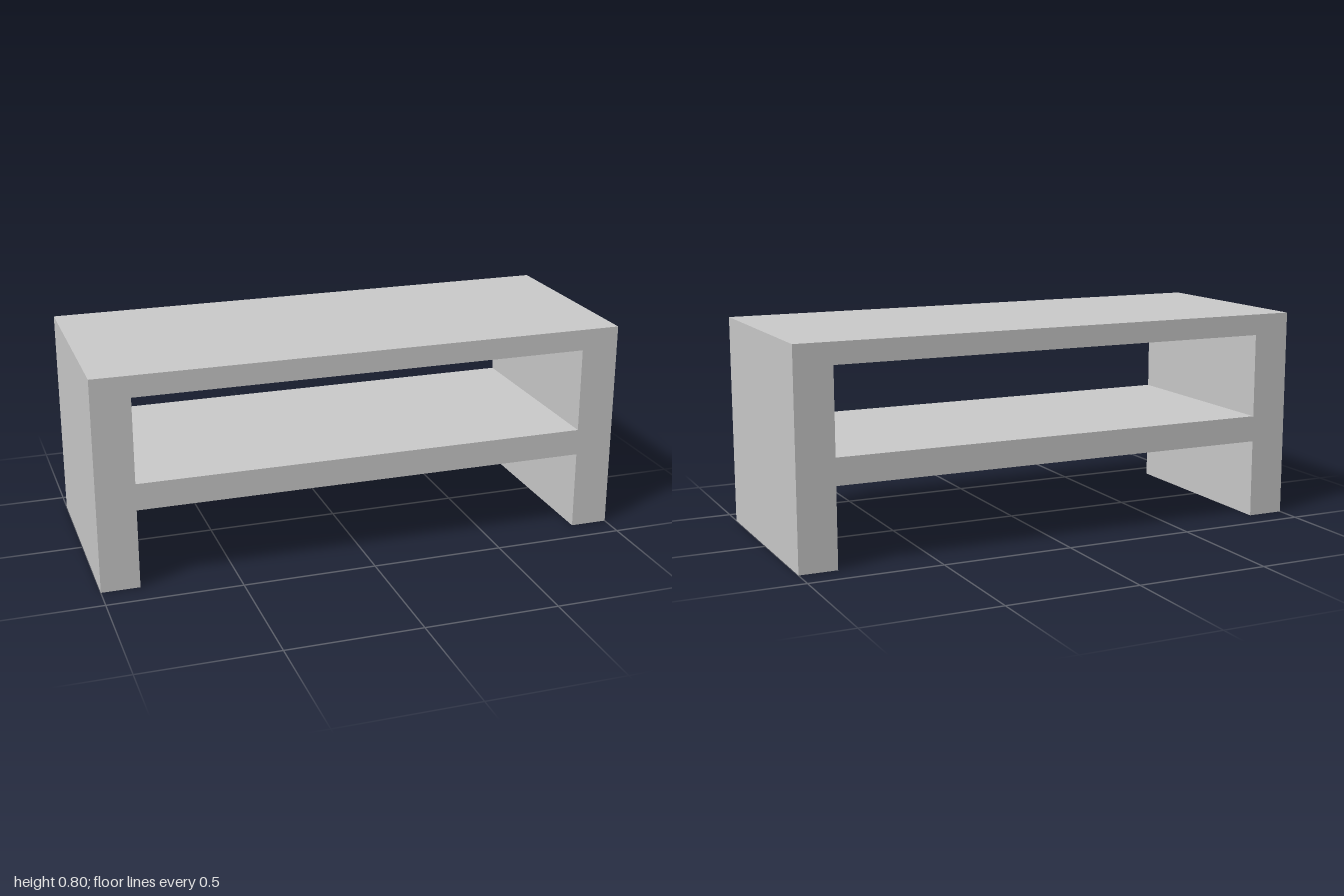
import * as THREE from 'three';

export function createModel() {
  const halfWidth = 1, height = 0.8, depth = 0.8;
  const inner = 0.857;          // inner face of the side panels
  const topUnderside = 0.72;
  const shelfTop = 0.4, shelfUnderside = 0.3;
  const points = (list) => list.map(([x, y]) => new THREE.Vector2(x, y));

  // Front outline: top board, side panels and shelf as one solid
  const outline = new THREE.Shape(points([
    [-halfWidth, 0], [-inner, 0], [-inner, shelfUnderside], [inner, shelfUnderside],
    [inner, 0], [halfWidth, 0], [halfWidth, height], [-halfWidth, height],
  ]));

  // Open compartment between the shelf and the top
  outline.holes.push(new THREE.Path(points([
    [-inner, shelfTop], [-inner, topUnderside], [inner, topUnderside], [inner, shelfTop],
  ])));

  const geometry = new THREE.ExtrudeGeometry(outline, { depth, bevelEnabled: false });
  geometry.translate(0, 0, -depth / 2);

  const frame = new THREE.Mesh(
    geometry,
    new THREE.MeshStandardMaterial({ color: 0xcccccc, flatShading: true }),
  );
  frame.name = 'benchFrameWithShelf';

  const model = new THREE.Group();
  model.name = 'shelfBench';
  model.add(frame);
  return model;
}
